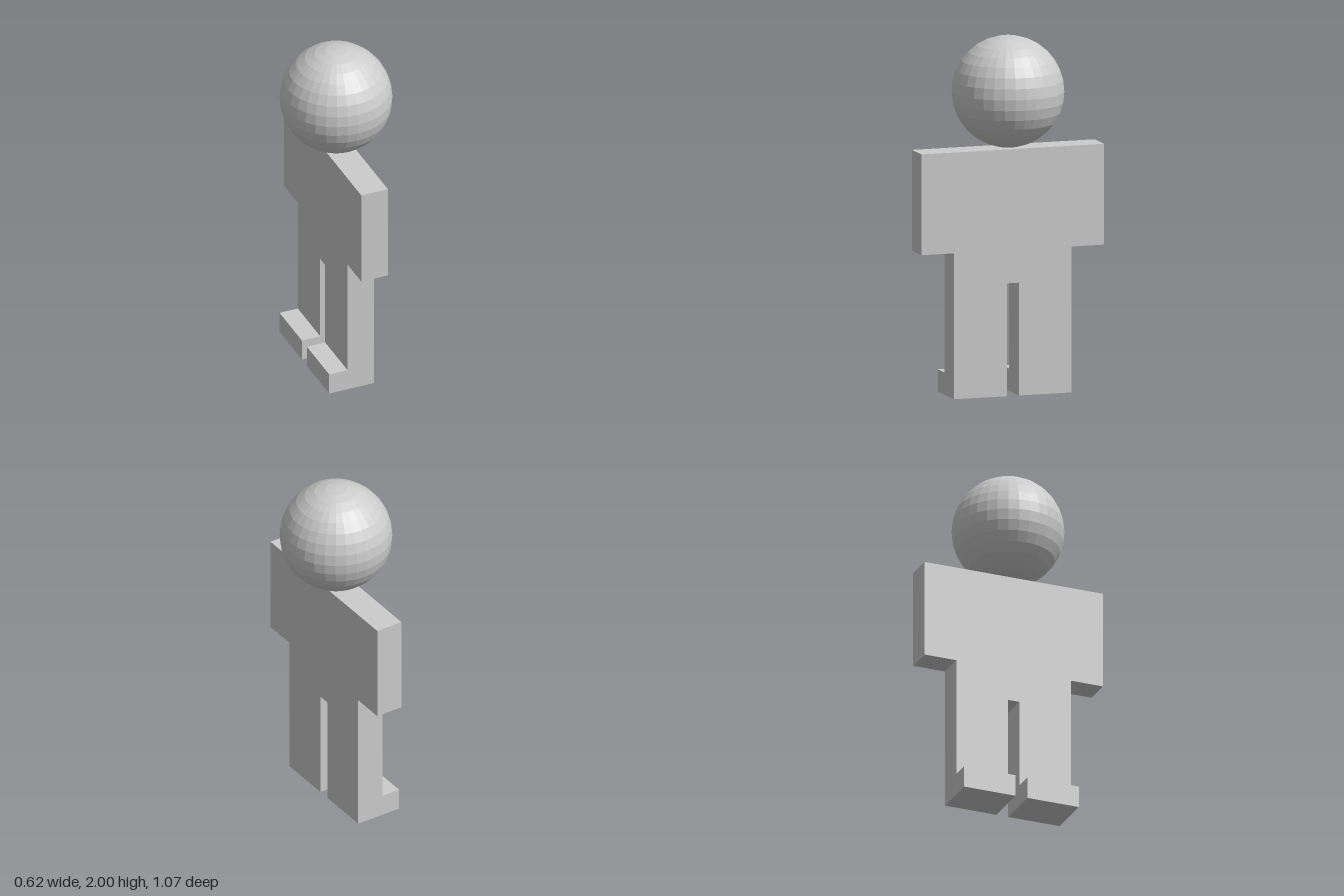
import * as THREE from 'three';

export function createModel() {
  const group = new THREE.Group();
  const grey = new THREE.MeshStandardMaterial({ color: 0xcccccc });
  grey.name = 'light grey';
  grey.flatShading = true;

  const add = (name, geometry, x, y, z) => {
    const mesh = new THREE.Mesh(geometry, grey);
    mesh.name = name;
    mesh.position.set(x, y, z);
    group.add(mesh);
  };

  // Head: faceted ball resting on the shoulders
  add('head', new THREE.SphereGeometry(0.311, 32, 16), 0, 1.689, 0);

  // Body: one flat slab with arm blocks and two legs, mirrored across z = 0
  const half = [[0.035, 0.63], [0.035, 0], [0.343, 0], [0.343, 0.815], [0.533, 0.815], [0.533, 1.378]];
  const outline = [...half, ...half.map(([z, y]) => [-z, y]).reverse()];
  const shape = new THREE.Shape(outline.map(([z, y]) => new THREE.Vector2(z, y)));
  const body = new THREE.ExtrudeGeometry(shape, { depth: 0.16, bevelEnabled: false });
  body.translate(0, 0, -0.08).rotateY(-Math.PI / 2);
  add('body', body, 0, 0, 0);

  // Feet: toes pointing to -x
  for (const side of [1, -1]) {
    add(side > 0 ? 'frontFoot' : 'backFoot', new THREE.BoxGeometry(0.11, 0.125, 0.308), -0.135, 0.0625, side * 0.189);
  }

  return group;
}
